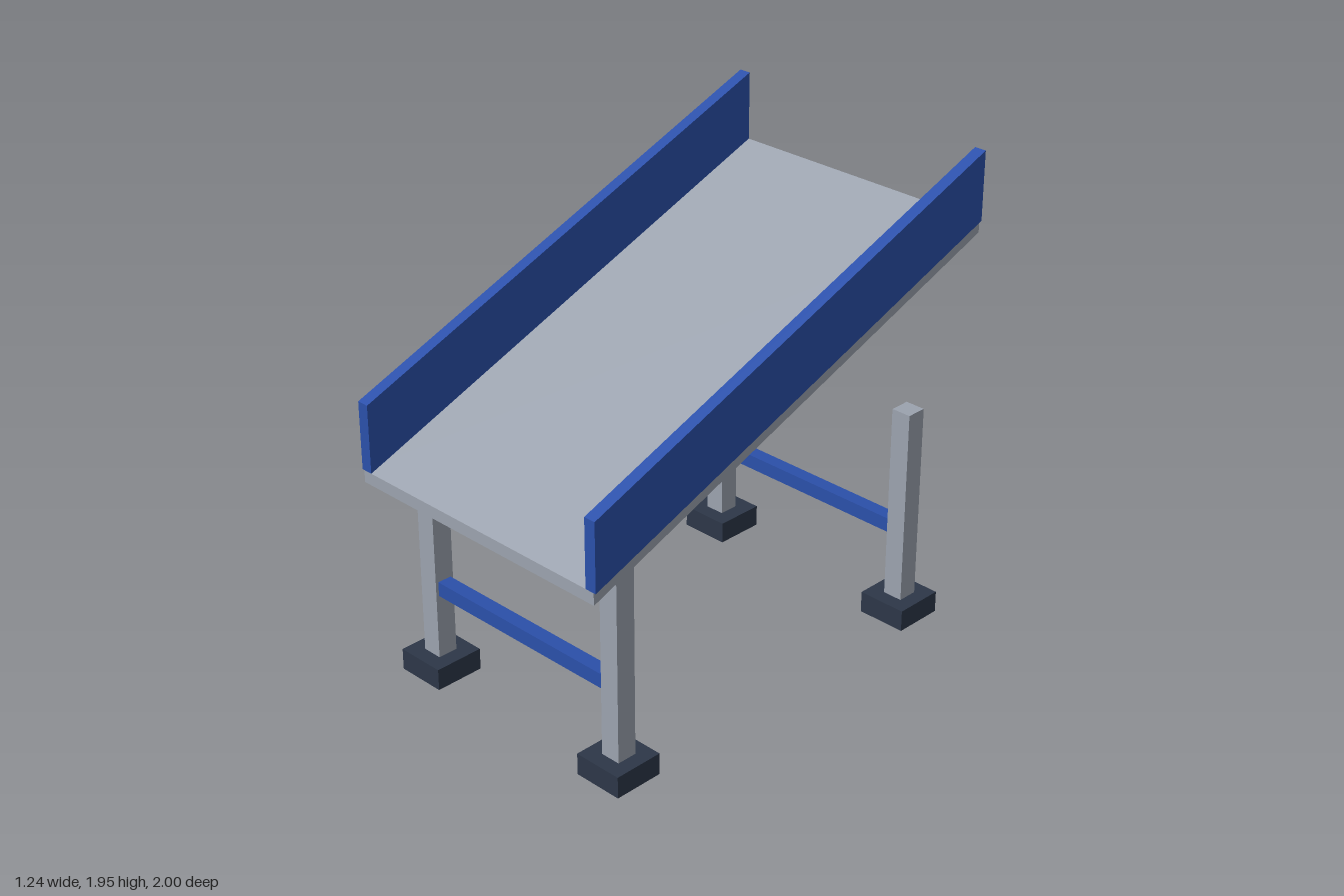
import * as THREE from 'three';

const steel = new THREE.MeshStandardMaterial({ color: 0x9ca3af });
steel.name = 'steel grey';
const blue = new THREE.MeshStandardMaterial({ color: 0x2b50aa });
blue.name = 'painted blue';
const rubber = new THREE.MeshStandardMaterial({ color: 0x2d3748 });
rubber.name = 'dark rubber';

const LENGTH = 2;
const SLOPE = 0.755 / LENGTH; // rise towards the back

function box(name, material, size, position) {
  const mesh = new THREE.Mesh(new THREE.BoxGeometry(...size), material);
  mesh.name = name;
  mesh.position.set(...position);
  return mesh;
}

// Box running the full length, sheared so its ends stay vertical
function slopedBox(name, material, width, height, x, y) {
  const mesh = box(name, material, [width, height, LENGTH], [x, y, 0]);
  const shear = new THREE.Matrix4().set(
    1, 0, 0, 0,
    0, 1, -SLOPE, 0,
    0, 0, 1, 0,
    0, 0, 0, 1);
  mesh.geometry.applyMatrix4(shear);
  mesh.geometry = mesh.geometry.toNonIndexed();
  mesh.geometry.computeVertexNormals();
  return mesh;
}

export function createModel() {
  const model = new THREE.Group();
  model.name = 'slopedChute';

  // Chute: inclined deck between two side walls
  const chute = new THREE.Group();
  chute.name = 'chute';
  chute.add(slopedBox('deck', steel, 1.22, 0.05, 0, 1.268));
  for (const side of [1, -1]) {
    const name = side > 0 ? 'leftWall' : 'rightWall';
    chute.add(slopedBox(name, blue, 0.05, 0.28, side * 0.595, 1.433));
  }
  model.add(chute);

  // Two leg frames, each with two posts on feet and a crossbar
  for (const end of [1, -1]) {
    const frame = new THREE.Group();
    frame.name = end > 0 ? 'frontFrame' : 'backFrame';
    frame.position.z = end * 0.78;
    for (const side of [1, -1]) {
      const prefix = side > 0 ? 'left' : 'right';
      frame.add(box(prefix + 'Leg', steel, [0.085, 0.905, 0.085], [side * 0.492, 0.4625, 0]));
      frame.add(box(prefix + 'Foot', rubber, [0.21, 0.09, 0.21], [side * 0.49, 0.045, 0]));
    }
    frame.add(box('crossbar', blue, [0.9, 0.06, 0.06], [0, 0.39, 0]));
    model.add(frame);
  }
  return model;
}
